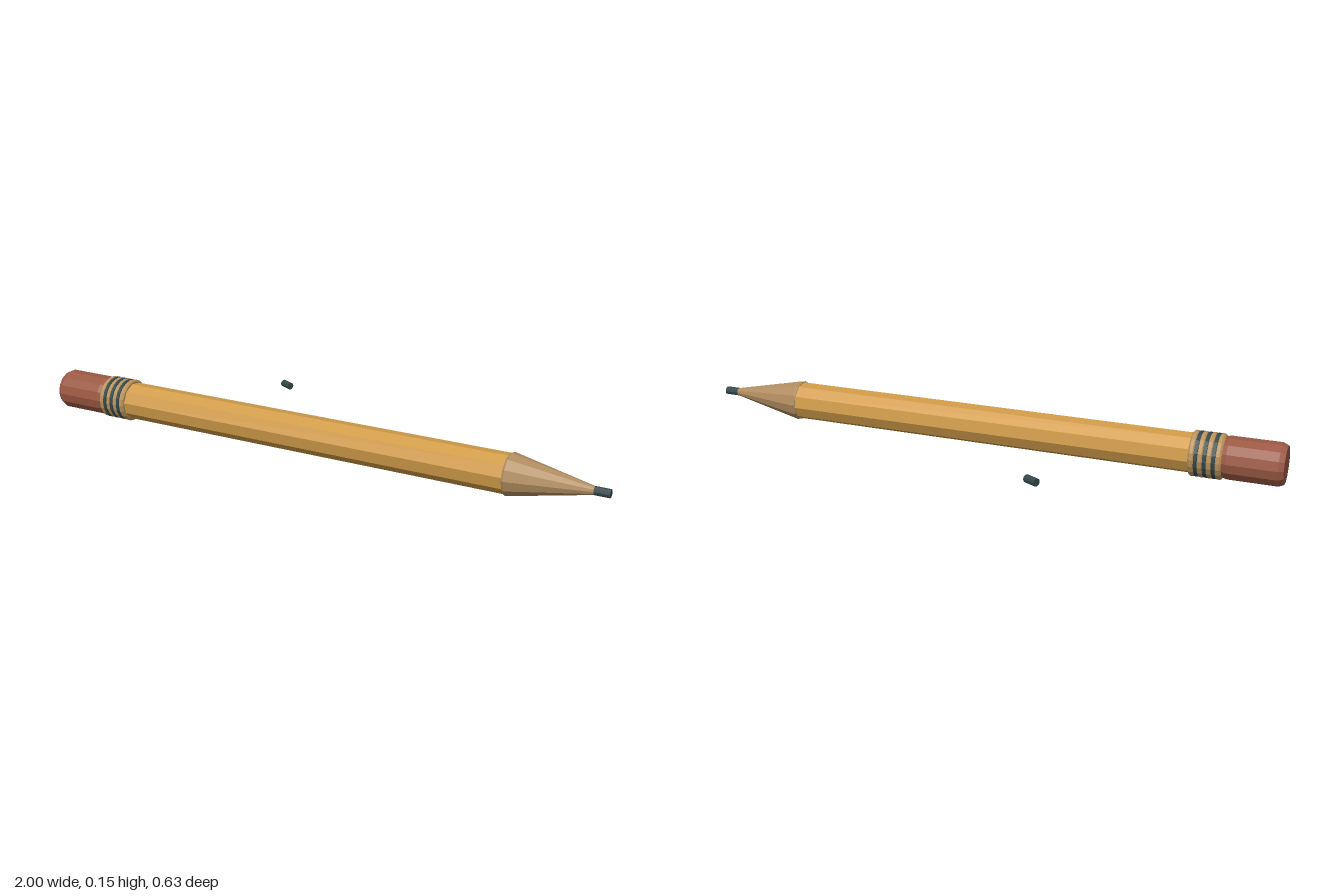
import * as THREE from 'three';

const mat = (name, color) => {
  const m = new THREE.MeshStandardMaterial({ color, flatShading: true });
  m.name = name;
  return m;
};

export function createModel() {
  const paint = mat('yellow paint', 0xd09b49);
  const rubber = mat('eraser red', 0x9a5843);
  const wood = mat('bare wood', 0xb08c60);
  const brass = mat('ferrule tan', 0xb9935c);
  const graphite = mat('graphite', 0x34474a);

  const model = new THREE.Group();
  model.name = 'pencilAndLead';

  // Faceted solid turned about the x axis; profile is [x, radius] from left to right
  const turned = (parent, name, material, sides, profile, phase = 0) => {
    const points = profile.map(([x, r]) => new THREE.Vector2(r, x));
    const geo = new THREE.LatheGeometry(points, sides, phase);
    geo.rotateZ(-Math.PI / 2);
    const mesh = new THREE.Mesh(geo, material);
    mesh.name = name;
    parent.add(mesh);
    return mesh;
  };

  const pencil = new THREE.Group();
  pencil.name = 'pencil';
  pencil.position.set(0, 0.075, 0.0475);
  pencil.rotation.y = 0.2;
  model.add(pencil);

  // Eraser with a small bevel at its end
  turned(pencil, 'eraser', rubber, 14, [
    [-1.007, 0], [-1.007, 0.062], [-0.99, 0.07], [-0.83, 0.07], [-0.815, 0.066], [-0.8, 0.066],
  ]);

  // Ferrule: tan ridges with dark rings in the gaps
  const ridges = 4, pitch = 0.028, start = -0.817;
  for (let i = 0; i < ridges; i++) {
    const x = start + i * pitch;
    turned(pencil, 'ferruleRidge' + (i + 1), brass, 20, [
      [x, 0], [x, 0.068], [x + 0.006, 0.074], [x + 0.016, 0.074], [x + 0.021, 0.069], [x + 0.021, 0],
    ]);
    if (i < ridges - 1) {
      turned(pencil, 'ferruleRing' + (i + 1), graphite, 20, [
        [x + 0.017, 0.066], [x + 0.019, 0.0735], [x + 0.03, 0.0735], [x + 0.032, 0.066],
      ]);
    }
  }

  // Painted shaft
  turned(pencil, 'shaft', paint, 10, [
    [-0.72, 0], [-0.72, 0.065], [0.7, 0.065], [0.7, 0],
  ], -8 * Math.PI / 180);

  // Sharpened wooden cone
  turned(pencil, 'woodCone', wood, 12, [
    [0.697, 0], [0.697, 0.066], [0.704, 0.07], [0.975, 0.012], [0.975, 0],
  ]);

  // Graphite point
  turned(pencil, 'leadTip', graphite, 10, [
    [0.967, 0], [0.967, 0.014], [1.017, 0.014], [1.017, 0],
  ]);

  // Loose piece of lead behind the pencil
  const chip = turned(model, 'leadPiece', graphite, 10, [
    [-0.0225, 0], [-0.0225, 0.013], [0.0225, 0.013], [0.0225, 0],
  ]);
  chip.position.set(-0.395, 0.074, -0.294);
  chip.rotation.y = -0.28;

  return model;
}
